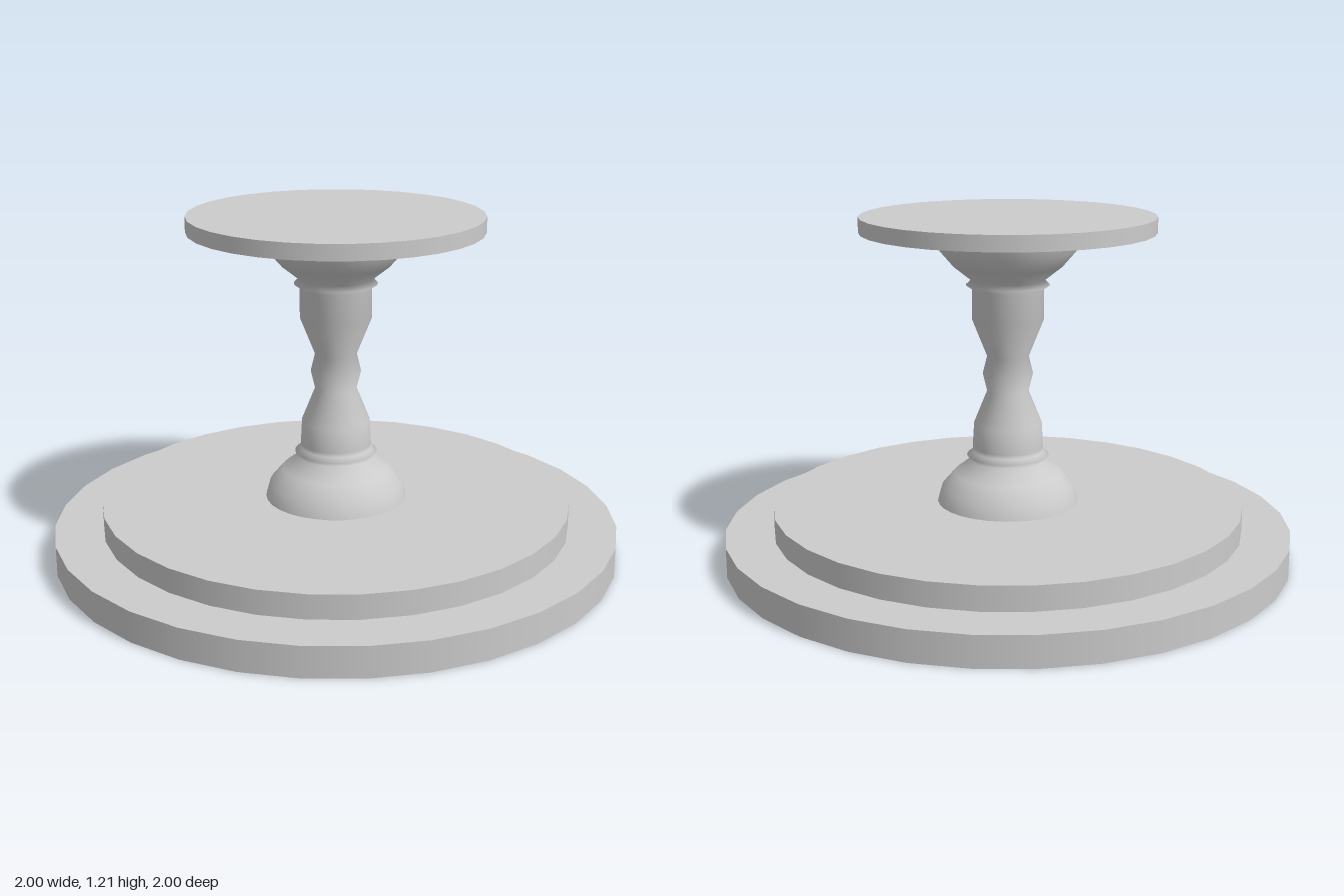
import * as THREE from 'three';

const SIDES = 32;

export function createModel() {
  const group = new THREE.Group();
  const material = new THREE.MeshStandardMaterial({ color: 0xcccccc });

  const add = (name, geometry, y = 0) => {
    const mesh = new THREE.Mesh(geometry, material);
    mesh.name = name;
    mesh.position.y = y;
    group.add(mesh);
  };
  const disc = (name, radius, bottom, top) =>
    add(name, new THREE.CylinderGeometry(radius, radius, top - bottom, SIDES), (bottom + top) / 2);

  // Stepped base and round top plate
  disc('lowerBase', 1, 0, 0.107);
  disc('upperBase', 0.83, 0.107, 0.192);
  disc('topPlate', 0.51, 1.153, 1.207);

  // Turned column: domed foot, collar, waisted shaft, collar, cup
  const profile = [
    [0.25, 0.192], [0.235, 0.245], [0.19, 0.297], [0.13, 0.343],
    [0.145, 0.36], [0.125, 0.375], [0.125, 0.39], [0.12, 0.475],
    [0.073, 0.592], [0.088, 0.655], [0.073, 0.717],
    [0.125, 0.848], [0.125, 0.955], [0.145, 0.968], [0.127, 0.985],
    [0.19, 1.035], [0.235, 1.087], [0.25, 1.153],
  ].map(([r, y]) => new THREE.Vector2(r, y));
  add('column', new THREE.LatheGeometry(profile, SIDES));

  return group;
}
